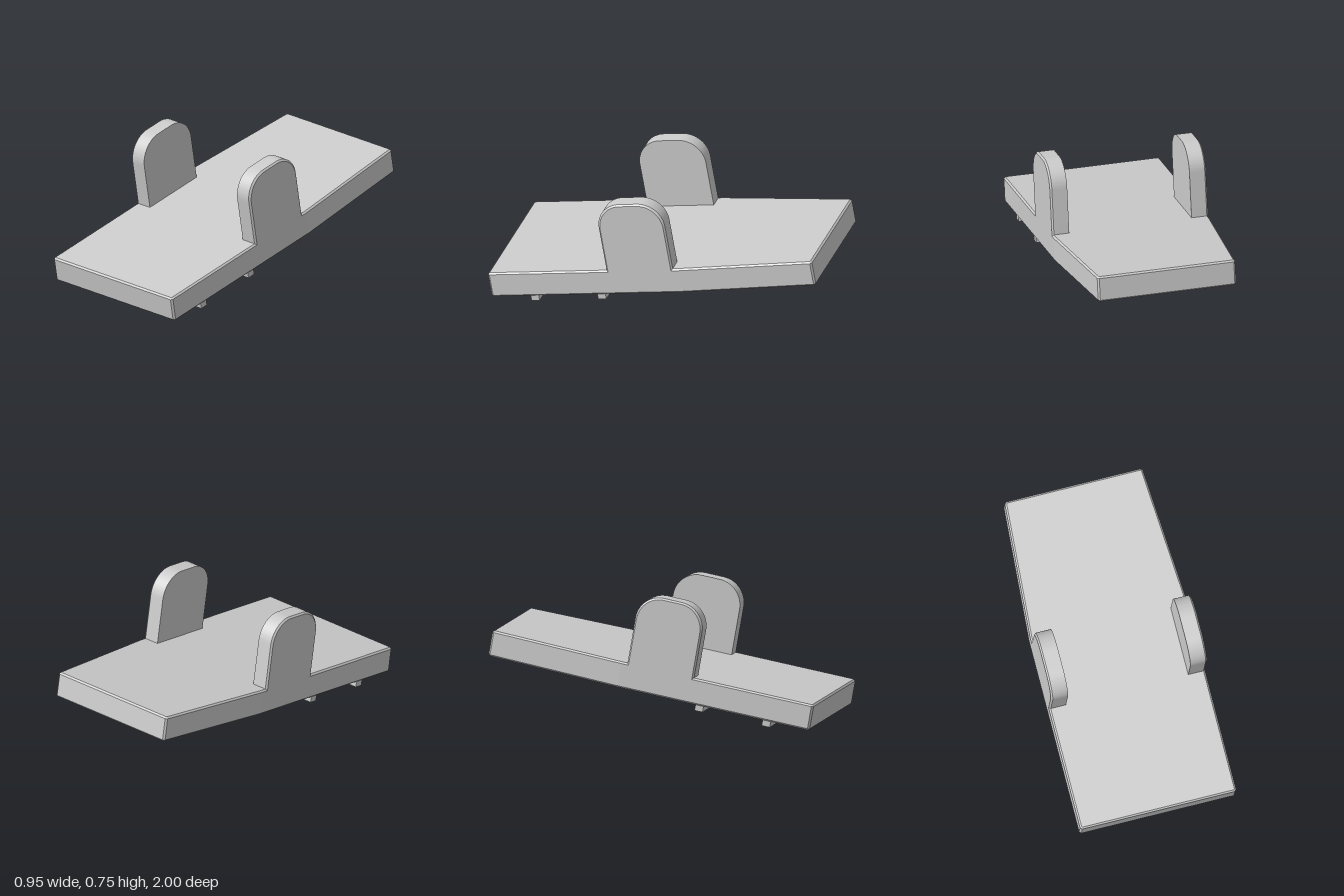
import * as THREE from 'three';
import { toCreasedNormals } from 'three/addons/utils/BufferGeometryUtils.js';

const TILT = THREE.MathUtils.degToRad(10);
const HALF_LENGTH = 1.002, HALF_WIDTH = 0.475, THICKNESS = 0.155, BEVEL = 0.01;

// Flat slab with a tapered rear half and chamfered edges, lying on y = 0
function plateGeometry() {
  const w = HALF_WIDTH - BEVEL, l = HALF_LENGTH - BEVEL, back = 0.42 - BEVEL, e = 0.005;
  const half = [[w - e, -l], [w, -l + e], [w, 0.187], [back, l - e], [back - e, l]];
  const mirrored = half.map(([x, y]) => [-x, y]).reverse();
  const shape = new THREE.Shape([...half, ...mirrored].map(p => new THREE.Vector2(...p)));
  const geo = new THREE.ExtrudeGeometry(shape, {
    depth: THICKNESS - 2 * BEVEL, bevelThickness: BEVEL, bevelSize: BEVEL, bevelSegments: 1,
  });
  return geo.translate(0, 0, BEVEL).rotateX(-Math.PI / 2);
}

// Upright lug with rounded top corners; only its outer rim is chamfered
function lugGeometry() {
  const hw = 0.206, base = 0.03, top = 0.583, r = 0.15, depth = 0.103;
  const shape = new THREE.Shape();
  shape.moveTo(-hw, base);
  shape.lineTo(hw, base);
  shape.lineTo(hw, top - r);
  shape.absarc(hw - r, top - r, r, 0, Math.PI / 2);
  shape.lineTo(-hw + r, top);
  shape.absarc(-hw + r, top - r, r, Math.PI / 2, Math.PI);
  shape.closePath();
  const geo = new THREE.ExtrudeGeometry(shape, {
    depth, steps: 2, bevelEnabled: false, curveSegments: 16,
  });
  const pos = geo.attributes.position;
  for (let i = 0; i < pos.count; i++) {
    const z = pos.getZ(i);
    if (z > depth * 0.9) {
      // shrink the outer face to form the chamfer
      pos.setX(i, pos.getX(i) * (1 - BEVEL / hw));
      pos.setY(i, base + (pos.getY(i) - base) * (1 - BEVEL / (top - base)));
    } else if (z > depth * 0.1) {
      pos.setZ(i, depth - BEVEL);
    }
  }
  return toCreasedNormals(geo, 0.5);
}

export function createModel() {
  const model = new THREE.Group();
  model.name = 'tiltedPedal';
  const material = new THREE.MeshStandardMaterial({ color: 0xcccccc });

  const body = new THREE.Group();
  body.name = 'tiltedBody';
  body.rotation.x = TILT;
  body.position.set(0, HALF_LENGTH * Math.sin(TILT), -0.0135);
  model.add(body);

  const add = (name, geo, x, y, z) => {
    const mesh = new THREE.Mesh(geo, material);
    mesh.name = name;
    mesh.position.set(x, y, z);
    body.add(mesh);
    return mesh;
  };

  add('plate', plateGeometry(), 0, 0, 0);

  // Side lugs, flush with the plate's sides
  const lug = lugGeometry();
  for (const side of [1, -1]) {
    const mesh = add(side > 0 ? 'leftLug' : 'rightLug', lug, side * 0.372, 0, 0.054);
    mesh.rotation.y = side * Math.PI / 2;
  }

  // Cross ribs under the front half
  const rib = new THREE.BoxGeometry(2 * (HALF_WIDTH - BEVEL), 0.045, 0.05);
  add('frontRib', rib, 0, -0.0125, 0.737);
  add('rearRib', rib, 0, -0.0125, 0.321);

  return model;
}
